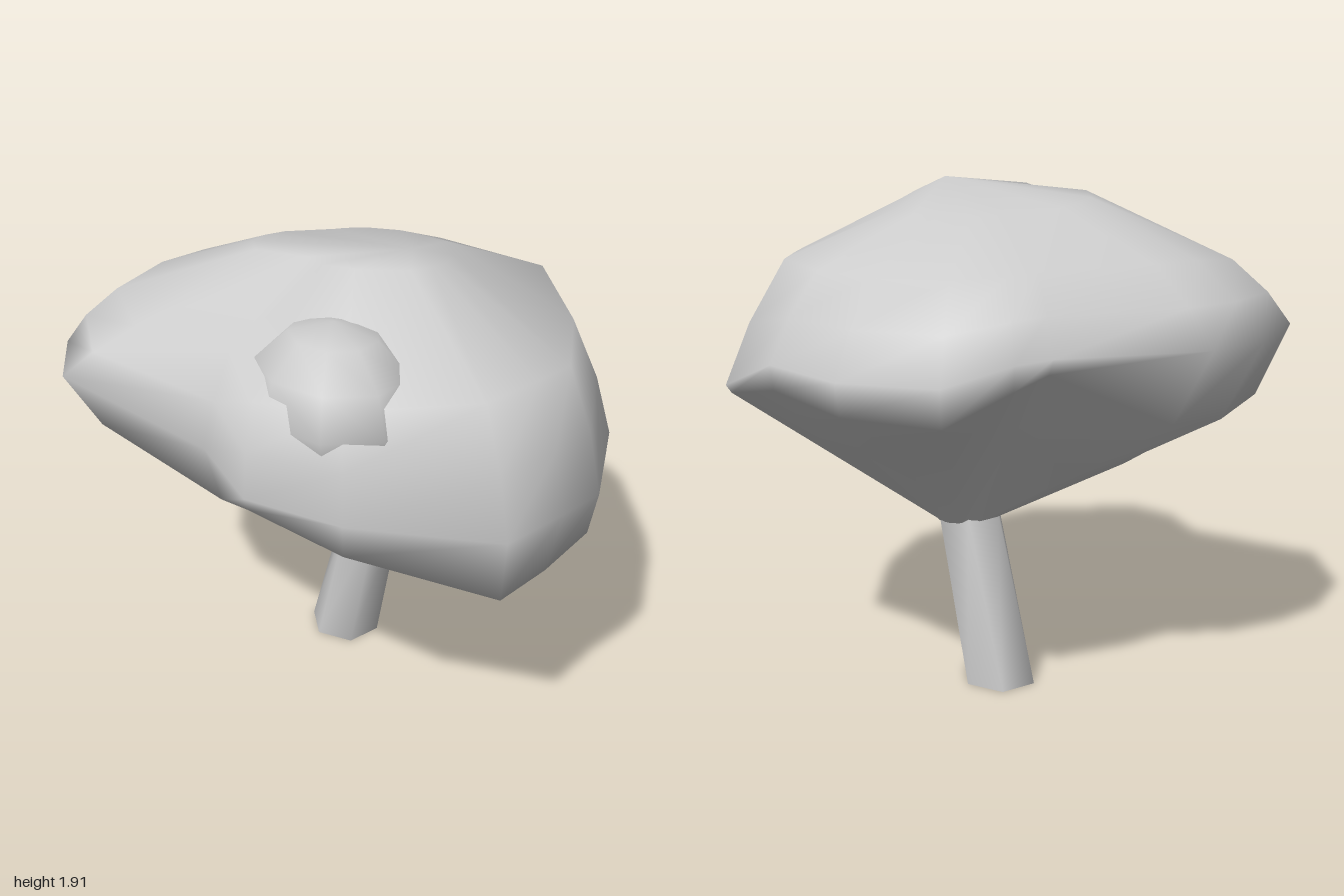
import * as THREE from 'three';

const material = new THREE.MeshStandardMaterial({ color: 0xcccccc, side: THREE.DoubleSide });

// Crown outline, counterclockwise from the front. Each row: x and z of the widest point,
// scale and height of the underside edge, height of the widest point,
// scale and height of the shoulder, lift of the underside halfway to the trunk
const outline = [
  [-0.17, 0.99, 0.98, 0.91, 1.15, 0.84, 1.60, 0],
  [0.12, 0.965, 0.94, 0.88, 1.14, 0.85, 1.60, 0],
  [0.31, 0.95, 0.97, 0.97, 1.14, 0.85, 1.60, 0],
  [0.63, 0.70, 0.95, 1.01, 1.17, 0.82, 1.62, -0.02],
  [0.98, 0.23, 0.98, 1.16, 1.19, 0.77, 1.64, 0],
  [0.94, -0.08, 0.99, 1.22, 1.31, 0.79, 1.62, 0.03],
  [0.87, -0.43, 0.98, 1.18, 1.30, 0.78, 1.62, 0.08],
  [0.64, -0.71, 0.97, 1.16, 1.30, 0.78, 1.62, 0.10],
  [0.42, -0.81, 0.98, 1.28, 1.37, 0.78, 1.63, 0.08],
  [0.28, -0.83, 0.95, 1.32, 1.38, 0.78, 1.64, 0.05],
  [-0.26, -1.00, 0.85, 1.10, 1.38, 0.76, 1.65, 0],
  [-0.52, -0.97, 0.87, 1.09, 1.38, 0.77, 1.65, 0],
  [-0.80, -0.82, 0.90, 1.13, 1.40, 0.81, 1.63, -0.03],
  [-0.99, -0.48, 0.89, 1.23, 1.44, 0.75, 1.61, -0.05],
  [-0.73, 0.04, 0.92, 1.05, 1.28, 0.82, 1.62, -0.04],
  [-0.78, 0.36, 0.98, 1.20, 1.25, 0.91, 1.58, 0],
  [-0.60, 0.66, 0.96, 1.08, 1.22, 0.90, 1.60, 0],
];

// Skin closed rings, listed from bottom to top, with an optional closing tip
function loft(rings, tip) {
  const n = rings[0].length, index = [], points = rings.flat();
  if (tip) points.push(tip);
  for (let r = 0; r < rings.length; r++) {
    for (let i = 0; i < n; i++) {
      const j = (i + 1) % n, a = r * n + i, b = r * n + j;
      if (r < rings.length - 1) index.push(a, b, b + n, a, b + n, a + n);
      else if (tip) index.push(a, b, rings.length * n);
    }
  }
  const geometry = new THREE.BufferGeometry();
  geometry.setAttribute('position', new THREE.Float32BufferAttribute(points.flat(), 3));
  geometry.setIndex(index);
  geometry.computeVertexNormals();
  return geometry;
}

// Horizontal ellipse through the given angles
const ellipse = (angles, x, y, z, rx, rz) =>
  angles.map((a) => [x + rx * Math.sin(a), y, z + rz * Math.cos(a)]);

function part(name, geometry) {
  const mesh = new THREE.Mesh(geometry, material);
  mesh.name = name;
  return mesh;
}

export function createModel() {
  const model = new THREE.Group();
  model.name = 'tree';

  // Leaning six-sided trunk, open at both ends
  const corners = Array.from({ length: 6 }, (_, i) => ((i + 0.5) * Math.PI) / 3);
  model.add(part('trunk', loft([
    ellipse(corners, 0.085, 0, -0.225, 0.145, 0.155),
    ellipse(corners, 0.13, 0.66, -0.08, 0.135, 0.115),
  ])));

  // Main foliage mass, flaring out of the trunk
  const ring = (scale, height) =>
    outline.map((p) => [p[0] * scale(p), height(p), p[1] * scale(p)]);
  const bearings = outline.map(([x, z]) => Math.atan2(x - 0.13, z + 0.08));
  const neck = ellipse(bearings, 0.13, 0.63, -0.08, 0.13, 0.1);
  const edge = ring((p) => p[2], (p) => p[3]);
  const underside = outline.map((p, i) =>
    neck[i].map((v, k) => (v + edge[i][k]) / 2 + (k === 1 ? p[7] : 0)));
  model.add(part('crown', loft([
    neck,
    underside,
    edge,
    ring(() => 1, (p) => p[4]),
    ring((p) => (1 + p[5]) / 2 + 0.02, (p) => (p[4] + p[6]) / 2),
    ring((p) => p[5], (p) => p[6]),
    ring(() => 0.35, (p) => 1.84 + p[1] * 0.03 - p[0] * 0.04),
  ], [0.02, 1.91, 0.26])));

  // Rounded clump swelling out of the crown's front corner
  const clump = part('sideClump', new THREE.SphereGeometry(1, 9, 6));
  clump.position.set(-0.40, 1.50, 0.36);
  clump.scale.set(0.29, 0.29, 0.34);
  model.add(clump);

  return model;
}
